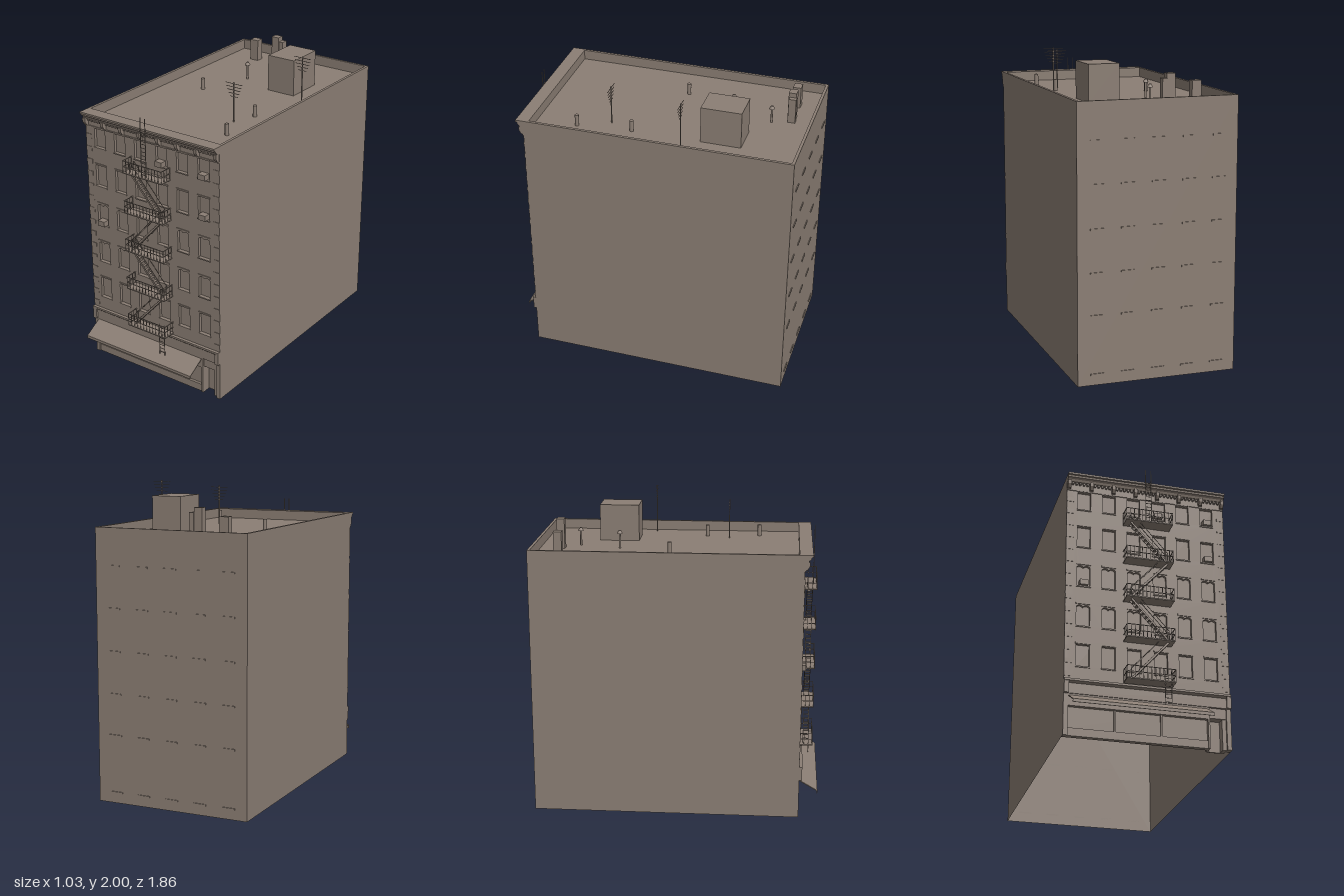
import * as THREE from 'three';

export function createModel() {
  const root = new THREE.Group();
  const stone = new THREE.MeshStandardMaterial({ color: 0x8b7e74, side: THREE.DoubleSide });
  stone.name = 'warm grey stone';

  const group = (name, parent = root) => {
    const g = new THREE.Group();
    g.name = name;
    parent.add(g);
    return g;
  };
  const add = (name, geo, parent = root) => {
    const m = new THREE.Mesh(geo, stone);
    m.name = name;
    parent.add(m);
    return m;
  };
  // box given by its two extreme corners
  const box = (name, x0, x1, y0, y1, z0, z1, parent) => {
    const m = add(name, new THREE.BoxGeometry(x1 - x0, y1 - y0, z1 - z0), parent);
    m.position.set((x0 + x1) / 2, (y0 + y1) / 2, (z0 + z1) / 2);
    return m;
  };
  // thin square or flat bar between two points
  const bar = (name, a, b, w, d, parent) => {
    const p = new THREE.Vector3(...a), q = new THREE.Vector3(...b);
    const m = add(name, new THREE.BoxGeometry(w, p.distanceTo(q), d), parent);
    m.position.copy(p).add(q).multiplyScalar(0.5);
    m.quaternion.setFromUnitVectors(new THREE.Vector3(0, 1, 0), q.sub(p).normalize());
    return m;
  };
  // solid with a (z, y) outline, running along x
  const profile = (name, pts, x0, x1, parent) => {
    const s = new THREE.Shape(pts.map(([z, y]) => new THREE.Vector2(-z, y)));
    const g = new THREE.ExtrudeGeometry(s, { depth: x1 - x0, bevelEnabled: false });
    g.rotateY(Math.PI / 2);
    const m = add(name, g, parent);
    m.position.x = x0;
    return m;
  };

  const W = 0.515, F = 0.81, B = -0.92, TOP = 1.745, ROOF = 1.68;

  // Shell, open underneath
  const shell = group('shell');
  for (const s of [-1, 1]) {
    const side = add('sideWall', new THREE.PlaneGeometry(F - B, TOP), shell);
    side.rotation.y = s * Math.PI / 2;
    side.position.set(s * W, TOP / 2, (F + B) / 2);
    box('sideParapet', s > 0 ? W - 0.018 : -W, s > 0 ? W : -W + 0.018, ROOF, TOP, B, F, shell);
  }
  const back = add('backWall', new THREE.PlaneGeometry(2 * W, TOP), shell);
  back.rotation.y = Math.PI;
  back.position.set(0, TOP / 2, B);
  const roof = add('roof', new THREE.PlaneGeometry(2 * W, F - B), shell);
  roof.rotation.x = -Math.PI / 2;
  roof.position.set(0, ROOF, (F + B) / 2);
  box('backParapet', -W, W, ROOF, TOP, B, B + 0.018, shell);
  box('frontParapet', -W, W, ROOF, TOP, 0.775, F, shell);

  // Front wall with window openings, recessed panes, sills and lintels
  const facade = group('facade');
  const columns = [-0.403, -0.243, -0.083, 0.083, 0.24, 0.4];
  const rows = [0.44, 0.705, 0.975, 1.245, 1.51];
  const wall = new THREE.Shape();
  wall.moveTo(-W, 0.26).lineTo(W, 0.26).lineTo(W, TOP).lineTo(-W, TOP).closePath();
  rows.forEach((y, r) => columns.forEach((x) => {
    const h = r === 4 ? 0.125 : 0.143, w = 0.042;
    const arch = r === 1 || r === 2 ? 0.014 : 0;
    const hole = new THREE.Path();
    hole.moveTo(x - w, y).lineTo(x - w, y + h - arch);
    if (arch) {
      hole.quadraticCurveTo(x - w / 2, y + h + arch * 0.6, x, y + h - arch);
      hole.quadraticCurveTo(x + w / 2, y + h + arch * 0.6, x + w, y + h - arch);
    } else hole.lineTo(x + w, y + h);
    hole.lineTo(x + w, y).closePath();
    wall.holes.push(hole);
    box('windowSill', x - 0.046, x + 0.046, y - 0.008, y, F - 0.005, F + 0.006, facade);
    box('windowLintel', x - 0.046, x + 0.046, y + h + 0.002, y + h + 0.012, F - 0.005, F + 0.005, facade);
  }));
  const front = add('frontWall', new THREE.ExtrudeGeometry(wall, { depth: 0.02, bevelEnabled: false, curveSegments: 6 }), facade);
  front.position.z = F - 0.02;
  const panes = add('windowPanes', new THREE.PlaneGeometry(2 * W - 0.1, 1.24), facade);
  panes.position.set(0, 1.03, F - 0.019);

  // Corner blocks
  for (let i = 0; i < 30; i++) for (const s of [-1, 1]) {
    const q = i % 2 ? 0.03 : 0.045;
    if (i % 2 === 0) box('cornerBlock', s > 0 ? W - q : -W, s > 0 ? W : -W + q, 0.37 + i * 0.0425, 0.40 + i * 0.0425, F, F + 0.003, facade);
  }

  // Window units
  for (const [x, y] of [[0.4, 1.51], [0.4, 1.245], [-0.403, 0.975], [0.075, 1.51]])
    box('airConditioner', x - 0.026, x + 0.026, y, y + 0.035, F - 0.02, F + 0.025, facade);

  // Cornice with brackets and dentils
  const cornice = group('cornice');
  profile('corniceMoulding', [[F, 1.695], [0.83, 1.695], [0.836, 1.71], [0.848, 1.718], [0.85, 1.73], [0.86, 1.733], [0.86, TOP], [F, TOP]], -W, W, cornice);
  box('corniceBand', -W, W, 1.64, 1.648, F, F + 0.006, cornice);
  for (let i = 0; i < 8; i++) {
    const x = -0.503 + i * 1.006 / 7;
    profile('corniceBracket', [[F, 1.645], [0.826, 1.652], [0.84, 1.675], [0.842, 1.7], [F, 1.7]], x - 0.011, x + 0.011, cornice);
    if (i < 7) for (let j = 1; j < 6; j++) {
      const d = x + j * 0.1437 / 6;
      box('dentil', d - 0.006, d + 0.006, 1.682, 1.697, F, 0.826, cornice);
    }
  }

  // Shopfront
  const shop = group('shopfront');
  profile('shopCornice', [[F, 0.26], [0.816, 0.26], [0.816, 0.325], [0.83, 0.337], [0.83, 0.35], [F, 0.35]], -W, W, shop);
  for (const s of [-1, 1]) {
    const x = s * (W - 0.014);
    box('pilaster', x - 0.014, x + 0.014, 0, 0.26, 0.77, F, shop);
    box('pilasterCap', x - 0.014, x + 0.014, 0.26, 0.335, F, 0.828, shop);
  }
  box('shopWindow', -0.49, 0.37, 0.05, 0.26, 0.77, 0.785, shop);
  box('shopBase', -0.49, 0.37, 0, 0.05, 0.77, 0.802, shop);
  box('shopSignBand', -0.49, 0.37, 0.185, 0.26, 0.785, F, shop);
  for (const x of [-0.2, 0.085]) box('shopMullion', x - 0.006, x + 0.006, 0.05, 0.185, 0.785, 0.797, shop);
  box('doorPost', 0.37, 0.382, 0, 0.26, 0.74, F, shop);
  box('doorTransom', 0.382, 0.487, 0.195, 0.26, 0.74, 0.8, shop);
  box('door', 0.382, 0.462, 0, 0.195, 0.735, 0.745, shop);
  box('doorSidePanel', 0.462, 0.487, 0, 0.195, 0.74, 0.795, shop);

  // Awning: sloped sheet with a short valance
  profile('awning', [[F, 0.25], [0.93, 0.18], [0.93, 0.16], [0.926, 0.16], [0.926, 0.176], [F, 0.243]], -0.485, 0.37, shop);

  // Rear window sills
  for (const y of [0.07, ...rows]) for (let i = 0; i < 5; i++) {
    const x = -0.393 + i * 0.196;
    box('rearSill', x - 0.043, x + 0.043, y - 0.006, y + 0.004, B - 0.006, B);
  }

  // Fire escape
  const escape = group('fireEscape');
  const decks = [0.36, 0.63, 0.9, 1.165, 1.435], Z = 0.896, T = 0.004;
  decks.forEach((y, i) => {
    const g = group('balcony', escape);
    box('deck', -0.152, 0.15, y, y + 0.007, F, Z + 0.002, g);
    for (const h of [0.045, 0.084]) {
      bar('frontRail', [-0.152, y + h, Z], [0.15, y + h, Z], T, T, g);
      for (const x of [-0.15, 0.148]) bar('endRail', [x, y + h, F], [x, y + h, Z], T, T, g);
    }
    for (let k = 0; k <= 12; k++) {
      const x = -0.15 + k * 0.298 / 12;
      bar('baluster', [x, y, Z], [x, y + 0.084, Z], 0.003, 0.003, g);
    }
    for (const x of [-0.15, 0.148]) for (const z of [0.815, 0.842, 0.869])
      bar('endBaluster', [x, y, z], [x, y + 0.084, z], 0.003, 0.003, g);
    if (i === 0) return;
    // stair down to the balcony below, alternating direction
    const s = i % 2 ? 1 : -1, y0 = decks[i - 1] + 0.007;
    const foot = -s * 0.12, head = s * 0.115;
    for (const z of [0.835, 0.87]) {
      bar('stringer', [foot, y0, z], [head, y, z], 0.012, 0.003, g);
      bar('handrail', [foot, y0 + 0.07, z], [head, y + 0.07, z], 0.003, 0.003, g);
      for (const [x, b] of [[foot, y0], [head, y]]) bar('railPost', [x, b, z], [x, b + 0.07, z], 0.003, 0.003, g);
    }
    for (let k = 1; k < 12; k++) {
      const x = foot + (head - foot) * k / 12, ty = y0 + (y - y0) * k / 12;
      box('tread', x - 0.009, x + 0.009, ty, ty + 0.003, 0.835, 0.87, g);
    }
  });
  const ladder = (name, x0, x1, y0, y1, z) => {
    const g = group(name, escape);
    for (const x of [x0, x1]) bar('ladderRail', [x, y0, z], [x, y1, z], T, T, g);
    for (let y = y0 + 0.02; y < Math.min(y1, TOP); y += 0.025) bar('rung', [x0, y, z], [x1, y, z], 0.003, 0.003, g);
  };
  ladder('dropLadder', 0.087, 0.127, 0.22, 0.44, 0.876);
  ladder('roofLadder', -0.02, 0.016, 1.435, 1.825, 0.876);

  // Rooftop
  const top = group('rooftop');
  box('stairHouse', 0.12, 0.32, ROOF, 1.92, -0.545, -0.285, top);
  box('chimney', -0.327, -0.267, ROOF, 1.825, -0.785, -0.732, top);
  box('tallChimney', -0.155, -0.1, ROOF, 1.875, -0.79, -0.74, top);
  box('lowChimney', -0.1, -0.07, ROOF, 1.845, -0.795, -0.747, top);
  const cylinder = (name, x, z, y0, y1, r0, r1) => {
    const m = add(name, new THREE.CylinderGeometry(r1, r0, y1 - y0, 12), top);
    m.position.set(x, (y0 + y1) / 2, z);
  };
  for (const [x, z] of [[-0.24, 0.05 - 0.1], [0.32, 0.16], [0.355, 0.51]]) cylinder('ventPipe', x, z, ROOF, 1.755, 0.013, 0.013);
  for (const [x, z] of [[-0.113, -0.385], [-0.043, -0.65]]) {
    cylinder('ventStem', x, z, ROOF, 1.785, 0.007, 0.007);
    cylinder('ventCap', x, z, 1.778, 1.798, 0.019, 0.008);
  }
  for (const [x, z, h] of [[0.44, -0.195, 2], [0.265, 0.31, 1.94]]) {
    const g = group('aerial', top);
    bar('mast', [x, ROOF, z], [x, h, z], 0.006, 0.006, g);
    [0.063, 0.057, 0.05, 0.04, 0.03].forEach((w, i) => {
      const y = h - 0.01 - i * 0.021;
      bar('aerialArm', [x - w, y, z], [x + w, y, z], 0.003, 0.003, g);
    });
  }
  return root;
}
